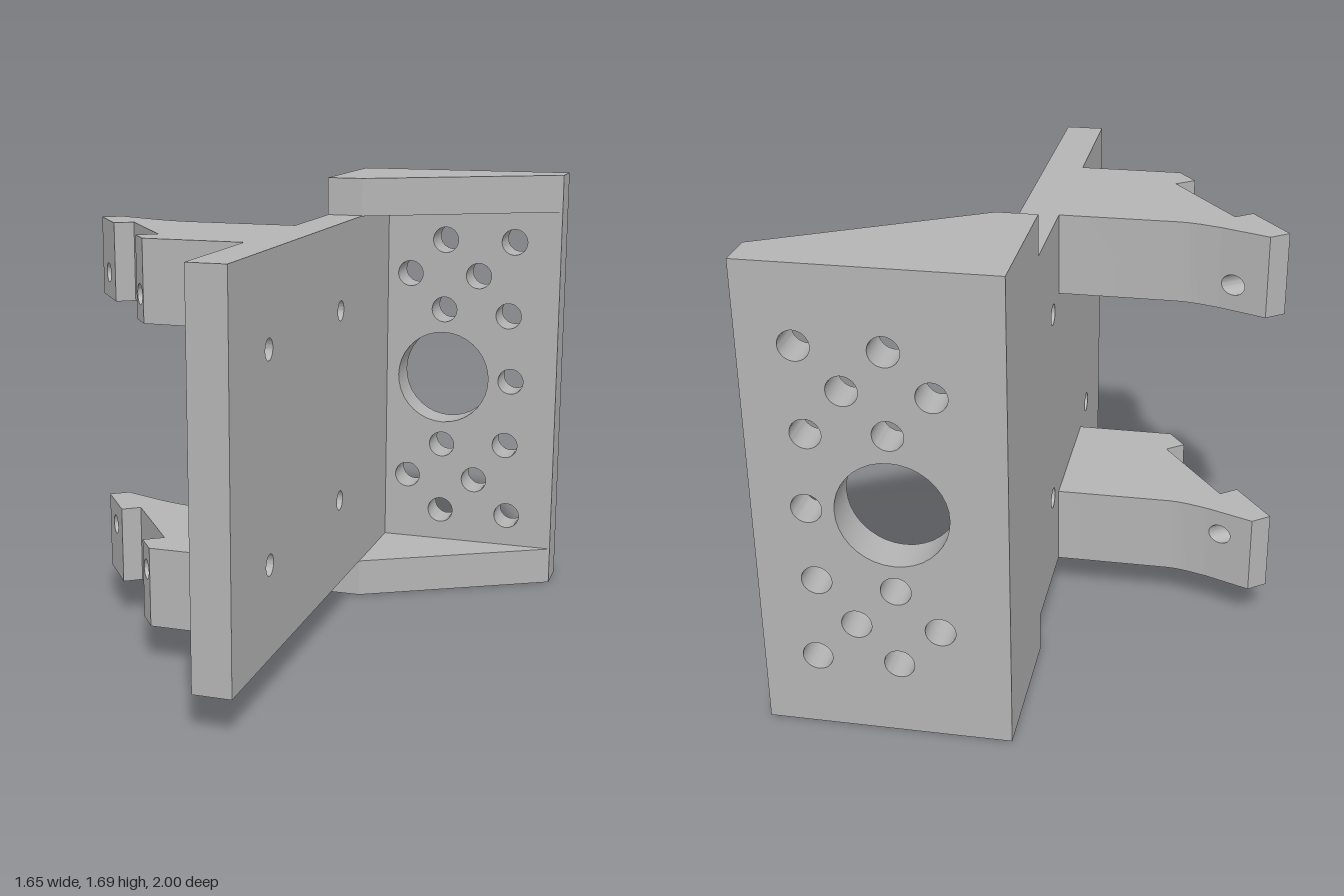
import * as THREE from 'three';
import { toCreasedNormals } from 'three/addons/utils/BufferGeometryUtils.js';

const metal = new THREE.MeshStandardMaterial({ color: 0xb4b4b4 });
metal.name = 'light grey';

const HEIGHT = 1.69;
const WALL = 0.14;

function part(name, geometry) {
  const mesh = new THREE.Mesh(toCreasedNormals(geometry, 0.5), metal);
  mesh.name = name;
  return mesh;
}

// Rectangle in x/y with round holes given as [x, y, radius]
function drilledShape(x0, x1, y0, y1, holes) {
  const shape = new THREE.Shape([[x0, y0], [x1, y0], [x1, y1], [x0, y1]].map(p => new THREE.Vector2(...p)));
  for (const [x, y, r] of holes) {
    shape.holes.push(new THREE.Path().absarc(x, y, r, 0, Math.PI * 2, true));
  }
  return shape;
}

function extrude(shape, depth, curveSegments = 18) {
  return new THREE.ExtrudeGeometry(shape, { depth, bevelEnabled: false, curveSegments });
}

// Vertical prism over an outline of [x, z] points
function prism(points, y0, height) {
  const shape = new THREE.Shape(points.map(([x, z]) => new THREE.Vector2(x, -z)));
  return extrude(shape, height).rotateX(-Math.PI / 2).translate(0, y0, 0);
}

// Drilled strip whose back face slopes from depth backA to backB
function drilledStrip(u0, u1, height, hole, front, backA, backB) {
  const g = extrude(drilledShape(u0, u1, 0, height, [hole]), 1);
  const p = g.attributes.position;
  for (let i = 0; i < p.count; i++) {
    const back = THREE.MathUtils.lerp(backA, backB, (p.getX(i) - u0) / (u1 - u0));
    p.setZ(i, THREE.MathUtils.lerp(back, front, p.getZ(i)));
  }
  return g;
}

// Slanted clamp arm: local x runs along the seat, local z points out of it
function clampArm(name, y, holeY) {
  const arm = new THREE.Group();
  arm.name = name;
  const h = 0.295, r = 0.037;
  const body = [
    [-0.431, 0.427], [-0.431, 0.601], [-0.357, 0.601], [-0.357, 0.526],
    [0.042, 0.526], [0.042, 0.407], [0.148, 0.407], [0.148, 0.607],
    [0.386, 0.285], [-0.048, -0.036], [-0.315, 0.326], [-0.338, 0.352], [-0.369, 0.380],
  ];
  arm.add(
    part('armBody', prism(body, 0, h)),
    part('armTip', drilledStrip(-0.582, -0.431, h, [-0.474, holeY, r], 0.601, 0.522, 0.427)),
    part('armFoot', drilledStrip(0.042, 0.148, h, [0.096, holeY, r], 0.607, 0.407, 0.407)),
  );
  arm.rotation.y = -Math.atan2(0.804, 0.594);
  arm.position.y = y;
  return arm;
}

export function createModel() {
  const model = new THREE.Group();
  model.name = 'motorBracket';

  // Back plate: large bore plus a hole pattern mirrored about mid height
  const mid = HEIGHT / 2;
  const holes = [[0.35, mid, 0.19], [0.633, mid, 0.052]];
  for (const [x, dy] of [[0.35, 0.573], [0.633, 0.573], [0.205, 0.43], [0.49, 0.43], [0.35, 0.286], [0.617, 0.271]]) {
    for (const s of [-1, 1]) holes.push([x, mid + s * dy, 0.052]);
  }
  model.add(part('backPlate', extrude(drilledShape(-0.03, 0.82, 0, HEIGHT, holes), WALL).translate(0, 0, -1)));

  // Side plate, drawn in z/y and turned to run front to back
  const sideHoles = [];
  for (const z of [0.63, -0.18]) for (const y of [0.48, 1.22]) sideHoles.push([-z, y, 0.038]);
  const side = extrude(drilledShape(-1, 0.86, 0.145, 1.547, sideHoles), WALL);
  model.add(part('sidePlate', side.rotateY(Math.PI / 2).translate(-0.03, 0, 0)));

  // Gussets closing the top and bottom of the corner
  const gusset = [[-0.03, -0.86], [-0.03, -0.46], [0.11, -0.46], [0.82, -0.86]];
  model.add(part('bottomGusset', prism(gusset, 0, 0.145)));
  model.add(part('topGusset', prism(gusset, HEIGHT - 0.145, 0.145)));

  // Two clamp arms, mirrored about mid height
  model.add(clampArm('lowerArm', 0.145, 0.2), clampArm('upperArm', 1.252, 0.095));
  return model;
}
